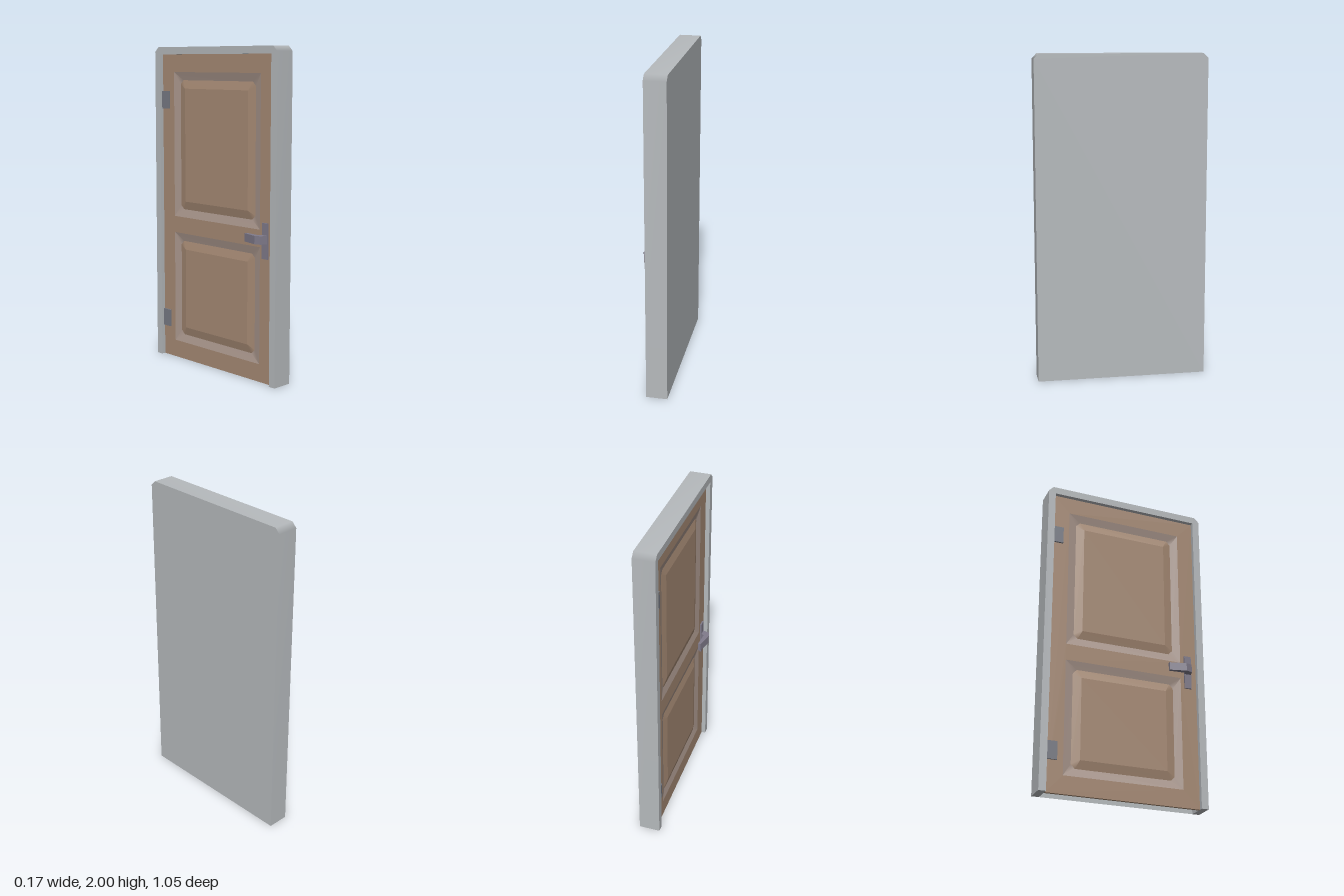
import * as THREE from 'three';

const material = (name, color) =>
  new THREE.MeshStandardMaterial({ name, color, side: THREE.DoubleSide });

// Outline lists hold [z, y] pairs
const FRAME_FRONT = -0.048, FRAME_BACK = 0.083, DOOR_FRONT = -0.022, GROOVE = -0.01;

function outlineShape(points, holes = []) {
  const shape = new THREE.Shape(points.map(([z, y]) => new THREE.Vector2(z, y)));
  for (const h of holes) shape.holes.push(new THREE.Path(h.map(([z, y]) => new THREE.Vector2(z, y))));
  return shape;
}

// Rectangle outline with optional chamfered corners (always eight points)
function rect(z0, z1, y0, y1, c) {
  return [[z0 + c, y0], [z1 - c, y0], [z1, y0 + c], [z1, y1 - c],
    [z1 - c, y1], [z0 + c, y1], [z0, y1 - c], [z0, y0 + c]];
}

// Solid slab whose front face lies at x = front, facing -x
function slab(points, holes, front, depth) {
  const g = new THREE.ExtrudeGeometry(outlineShape(points, holes), { depth, bevelEnabled: false });
  g.rotateY(-Math.PI / 2);
  g.translate(front + depth, 0, 0);
  return g;
}

// Band of quads joining two outlines at different depths
function band(a, xa, b, xb, { closed = false, flat = false } = {}) {
  const n = a.length, pos = [], index = [];
  for (const [z, y] of a) pos.push(xa, y, z);
  for (const [z, y] of b) pos.push(xb, y, z);
  for (let i = 0; i < (closed ? n : n - 1); i++) {
    const j = (i + 1) % n;
    index.push(i, j, n + i, j, n + j, n + i);
  }
  let g = new THREE.BufferGeometry();
  g.setAttribute('position', new THREE.Float32BufferAttribute(pos, 3));
  g.setIndex(index);
  if (flat) g = g.toNonIndexed();
  g.computeVertexNormals();
  return g;
}

export function createModel() {
  const model = new THREE.Group();
  model.name = 'door';
  const grey = material('frameGrey', 0xb6babd);
  const brown = material('doorBrown', 0xa68a74);
  const taupe = material('mouldingTaupe', 0xaa978d);
  const metal = material('handleMetal', 0x807b8b);
  const steel = material('hingeSteel', 0x777a84);

  const add = (parent, name, geometry, mat) => {
    const mesh = new THREE.Mesh(geometry, mat);
    mesh.name = name;
    parent.add(mesh);
    return mesh;
  };
  const box = (parent, name, mat, x0, x1, y0, y1, z0, z1) => {
    const mesh = add(parent, name, new THREE.BoxGeometry(x1 - x0, y1 - y0, z1 - z0), mat);
    mesh.position.set((x0 + x1) / 2, (y0 + y1) / 2, (z0 + z1) / 2);
  };

  // Frame: hollow casing, open at the bottom, with softly shaded outer sides
  const frame = new THREE.Group();
  frame.name = 'frame';
  model.add(frame);
  const outer = [[0.525, 0], [0.525, 1.97], [0.495, 2], [-0.495, 2], [-0.525, 1.97], [-0.525, 0]];
  const inner = [[-0.48, 0], [-0.48, 1.955], [0.48, 1.955], [0.48, 0]];
  add(frame, 'frameOuterSides', band(outer, FRAME_BACK, outer, FRAME_FRONT), grey);
  add(frame, 'frameInnerSides', band(inner, FRAME_BACK, inner, FRAME_FRONT, { flat: true }), grey);
  const face = new THREE.ShapeGeometry(outlineShape([...outer, ...inner]));
  face.rotateY(-Math.PI / 2).translate(FRAME_FRONT, 0, 0);
  add(frame, 'frameFace', face, grey);
  const back = new THREE.ShapeGeometry(outlineShape(outer));
  back.rotateY(Math.PI / 2).translate(FRAME_BACK, 0, 0);
  add(frame, 'frameBack', back, grey);
  for (const [z0, z1] of [[-0.525, -0.48], [0.48, 0.525]]) {
    const foot = [[z0, 0], [z1, 0]];
    add(frame, 'frameFoot', band(foot, FRAME_FRONT, foot, FRAME_BACK), grey);
  }

  // Door leaf with two openings for the moulded panels
  const leaf = new THREE.Group();
  leaf.name = 'doorLeaf';
  model.add(leaf);
  const panels = [[0.11, 0.825], [0.93, 1.845]];
  const ring = ([y0, y1], m, c) => rect(-0.376 + m, 0.376 - m, y0 + m, y1 - m, c);
  add(leaf, 'doorBoard',
    slab(inner, panels.map((p) => ring(p, 0, 0.001)), DOOR_FRONT, 0.014), brown);
  box(leaf, 'doorBacking', brown, -0.008, -0.004, 0, 1.955, -0.48, 0.48);

  // Moulded panels: slope into a groove, slope out, raised field
  for (const p of panels) {
    const edge = ring(p, 0, 0.001), groove = ring(p, 0.05, 0.025), field = ring(p, 0.102, 0.001);
    add(leaf, 'panelMoulding', band(edge, DOOR_FRONT, groove, GROOVE, { closed: true }), taupe);
    add(leaf, 'panelBevel', band(groove, GROOVE, field, DOOR_FRONT, { closed: true }), brown);
    add(leaf, 'panelField', slab(field, [], DOOR_FRONT, 0.014), brown);
  }

  // Hinges
  for (const y of [0.25, 1.67]) box(model, 'hinge', steel, -0.032, -0.02, y - 0.055, y + 0.055, -0.48, -0.415);

  // Handle: back plate and angular lever
  const handle = new THREE.Group();
  handle.name = 'handle';
  model.add(handle);
  box(handle, 'handlePlate', metal, -0.032, -0.02, 0.76, 0.975, 0.4, 0.445);
  const lever = new THREE.Shape([[-0.06, 0.287], [-0.085, 0.39], [-0.073, 0.43], [-0.03, 0.443],
    [-0.03, 0.4], [-0.05, 0.392], [-0.043, 0.287]].map(([x, z]) => new THREE.Vector2(x, -z)));
  const leverGeometry = new THREE.ExtrudeGeometry(lever, { depth: 0.05, bevelEnabled: false });
  leverGeometry.rotateX(-Math.PI / 2).translate(0, 0.853, 0);
  add(handle, 'handleLever', leverGeometry, metal);

  return model;
}
